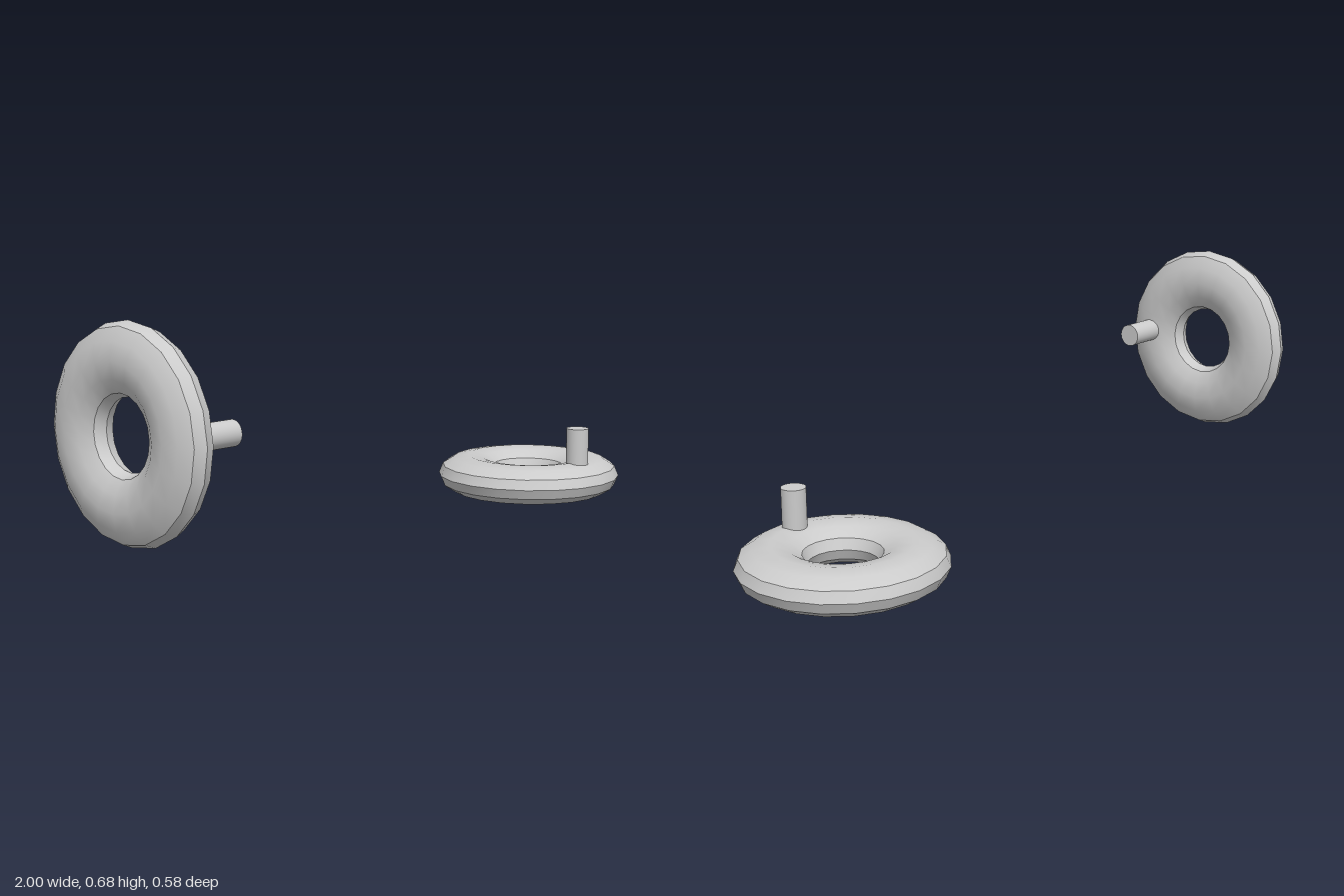
import * as THREE from 'three';
import { toCreasedNormals } from 'three/addons/utils/BufferGeometryUtils.js';

const RING_RADIUS = 0.195, TUBE_RADIUS = 0.0975, HALF_THICKNESS = 0.0615;
const PEG_RADIUS = 0.035, PEG_TIP = 0.171;

const material = new THREE.MeshStandardMaterial({ color: 0xcccccc });

// A flattened ring lying flat around y, with an upright peg on its +z side
function createWheel(name, pegShift = 0) {
  const wheel = new THREE.Group();
  wheel.name = name;

  const torus = new THREE.TorusGeometry(RING_RADIUS, TUBE_RADIUS, 12, 20);
  torus.scale(1, 1, HALF_THICKNESS / TUBE_RADIUS);
  torus.rotateX(-Math.PI / 2);
  const ring = new THREE.Mesh(toCreasedNormals(torus, Math.PI / 6), material);
  ring.name = 'ring';

  // The peg starts inside the ring
  const peg = new THREE.Mesh(
    new THREE.CylinderGeometry(PEG_RADIUS, PEG_RADIUS, PEG_TIP, 32), material);
  peg.name = 'handlePeg';
  peg.position.set(pegShift, PEG_TIP / 2, RING_RADIUS);

  wheel.add(ring, peg);
  return wheel;
}

export function createModel() {
  const model = new THREE.Group();
  model.name = 'handwheels';

  // Wheel lying on the ground, peg up
  const flatWheel = createWheel('flatWheel');
  flatWheel.position.set(0.707, HALF_THICKNESS, 0);

  // Wheel standing upright, peg pointing to +x
  const uprightWheel = createWheel('uprightWheel', -0.007);
  uprightWheel.rotation.z = -Math.PI / 2;
  uprightWheel.position.set(-1 + HALF_THICKNESS, 0.391, 0);
  uprightWheel.getObjectByName('handlePeg').position.x = -0.007;

  model.add(flatWheel, uprightWheel);
  return model;
}
